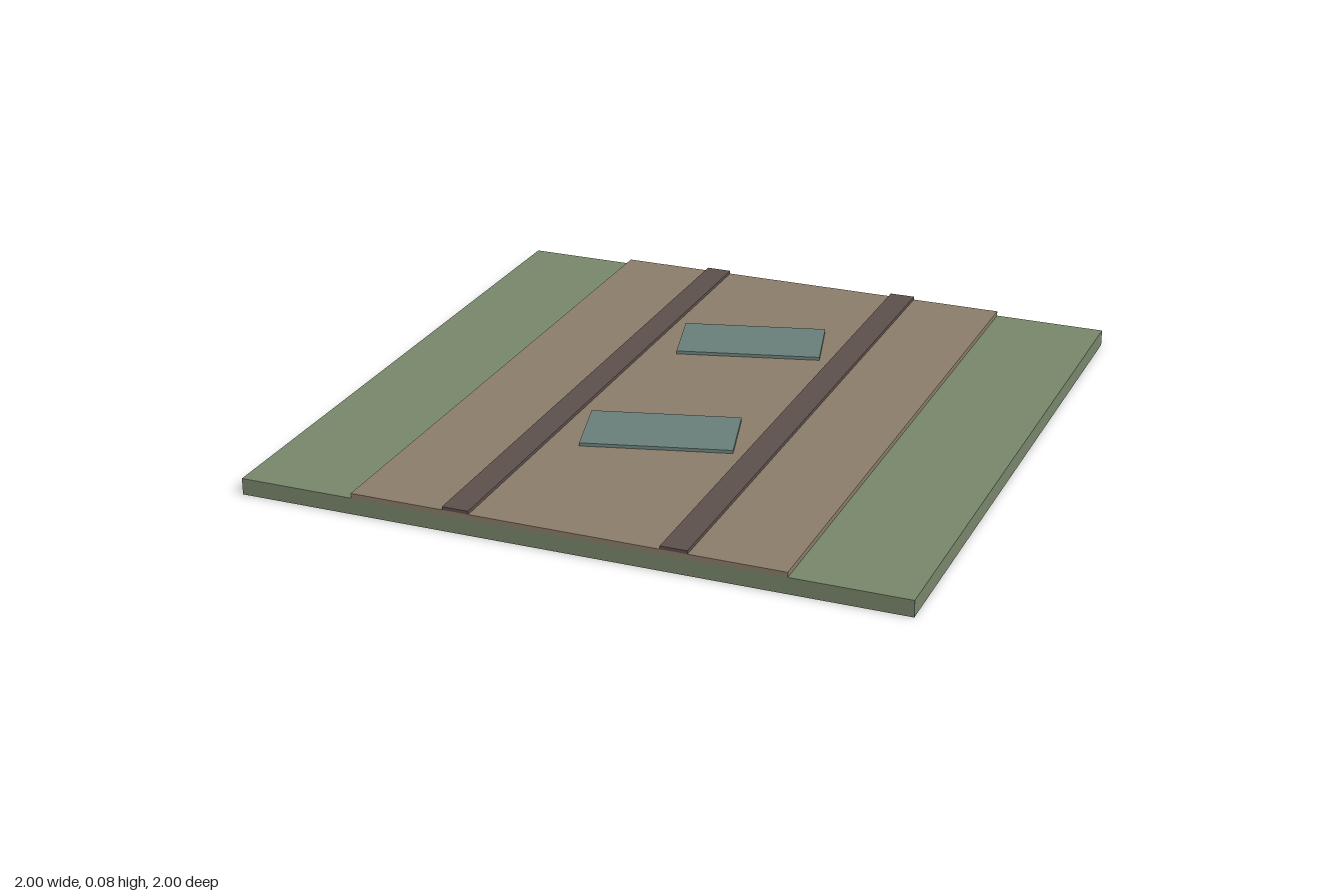
import * as THREE from 'three';

const material = (name, color) => {
  const m = new THREE.MeshStandardMaterial({ color });
  m.name = name;
  return m;
};

export function createModel() {
  const group = new THREE.Group();
  group.name = 'muddyRoadTile';

  const grass = material('grass green', 0x78866b);
  const dirt = material('dirt brown', 0x8b7d6b);
  const mud = material('dark mud', 0x5d504c);
  const water = material('puddle teal', 0x6a7f7a);

  // Box placed by its bottom and top heights
  function slab(name, mat, width, depth, bottom, top, x = 0, z = 0, turn = 0) {
    const mesh = new THREE.Mesh(new THREE.BoxGeometry(width, top - bottom, depth), mat);
    mesh.name = name;
    mesh.position.set(x, (bottom + top) / 2, z);
    mesh.rotation.y = turn;
    group.add(mesh);
  }

  // Grassy base and raised dirt road
  slab('ground', grass, 2, 2, 0, 0.05);
  slab('road', dirt, 1.3, 2, 0.05, 0.065);

  // Wheel ruts running the full length
  for (const side of [-1, 1]) {
    slab(side > 0 ? 'leftRut' : 'rightRut', mud, 0.08, 2, 0.065, 0.075, side * 0.325);
  }

  // Puddles, slightly turned
  slab('backPuddle', water, 0.45, 0.236, 0.065, 0.075, 0, -0.45, 0.26);
  slab('frontPuddle', water, 0.45, 0.236, 0.065, 0.075, 0, 0.3, 0.26);

  return group;
}
